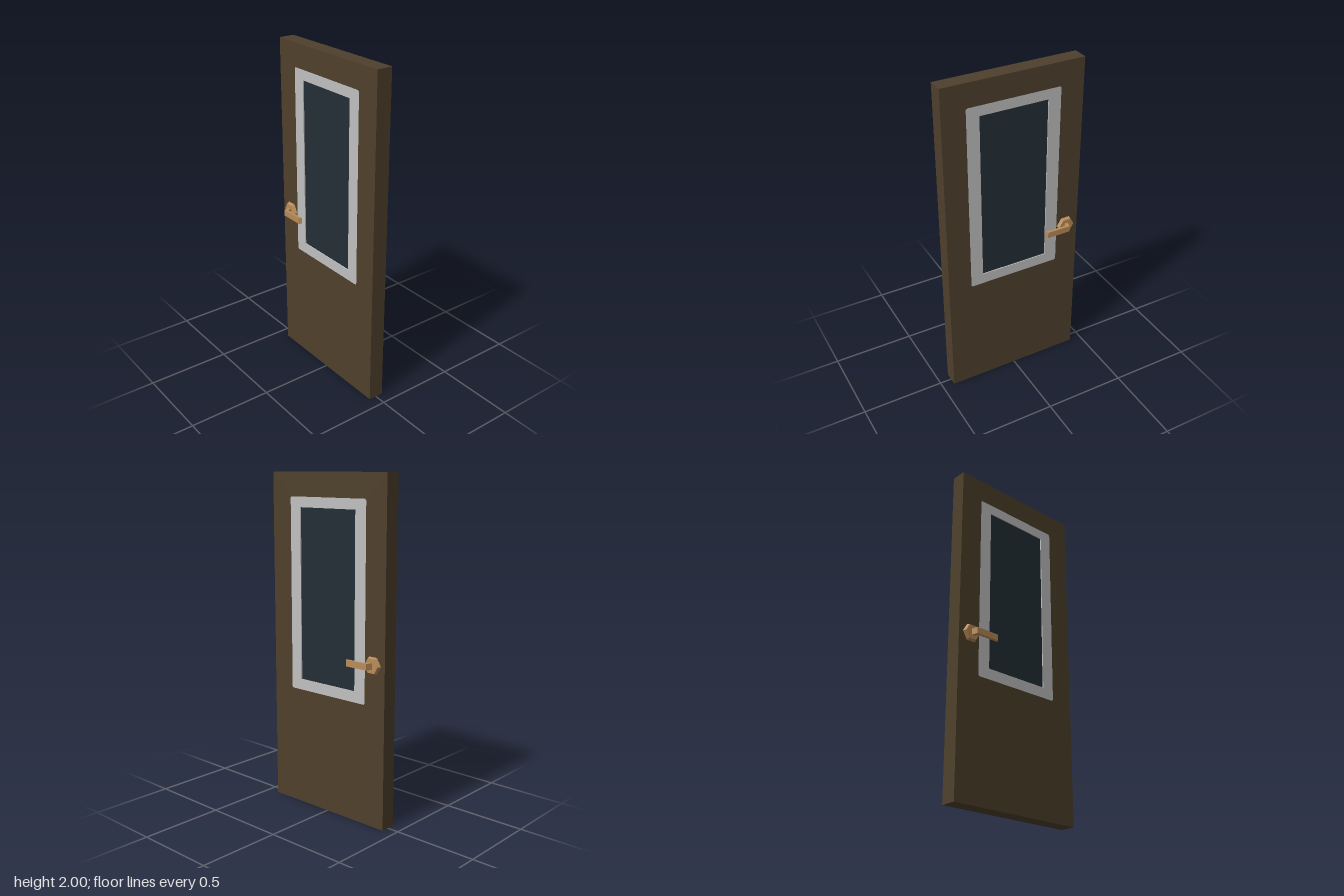
import * as THREE from 'three';

const material = (name, color) => {
  const m = new THREE.MeshStandardMaterial({ color });
  m.name = name;
  return m;
};

// Rectangle outline with optional cut corners
function outline(Kind, x, y0, y1, cut = 0) {
  const pts = cut
    ? [[-x + cut, y0], [x - cut, y0], [x, y0 + cut], [x, y1 - cut],
       [x - cut, y1], [-x + cut, y1], [-x, y1 - cut], [-x, y0 + cut]]
    : [[-x, y0], [x, y0], [x, y1], [-x, y1]];
  return new Kind(pts.map(([a, b]) => new THREE.Vector2(a, b)));
}

function extrude(shape, depth) {
  const geo = new THREE.ExtrudeGeometry(shape, { depth, bevelEnabled: false });
  return geo.translate(0, 0, -depth / 2);
}

export function createModel() {
  const wood = material('brown wood', 0x4f402c);
  const trim = material('light grey trim', 0xc0c0c0);
  const glass = material('dark glass', 0x232e36);
  const brass = material('brass', 0xb98c58);
  const half = 0.047;
  const handleY = 0.955;

  const door = new THREE.Group();
  door.name = 'door';
  const add = (parent, name, geo, mat) => {
    const mesh = new THREE.Mesh(geo, mat);
    mesh.name = name;
    parent.add(mesh);
    return mesh;
  };

  // Door leaf with an opening for the window
  const leaf = outline(THREE.Shape, 0.427, 0, 2);
  leaf.holes.push(outline(THREE.Path, 0.285, 0.717, 1.86, 0.008));
  add(door, 'doorLeaf', extrude(leaf, half * 2), wood);

  // Window frame, flush with the leaf
  const frame = outline(THREE.Shape, 0.285, 0.717, 1.86, 0.008);
  frame.holes.push(outline(THREE.Path, 0.208, 0.782, 1.8));
  add(door, 'windowFrame', extrude(frame, half * 2), trim);

  // Slightly recessed pane
  const pane = new THREE.BoxGeometry(0.416, 1.018, half * 2 - 0.012);
  add(door, 'windowPane', pane.translate(0, 1.291, 0), glass);

  // Lever outline seen from above: x, distance from the door's middle
  const lever = new THREE.Shape([
    [-0.353, 0.06], [-0.331, 0.06], [-0.325, 0.087],
    [-0.184, 0.087], [-0.195, 0.104], [-0.342, 0.104],
  ].map(([x, z]) => new THREE.Vector2(x, z)));

  // One handle on each face; the back one is turned over about x
  for (const [name, turn] of [['frontHandle', 0], ['backHandle', Math.PI]]) {
    const handle = new THREE.Group();
    handle.name = name;
    handle.position.y = handleY;
    handle.rotation.x = turn;

    // Six-sided tapered rose with corners along x
    const rose = new THREE.CylinderGeometry(0.047, 0.056, 0.02, 6).toNonIndexed();
    rose.rotateY(Math.PI / 6).rotateX(Math.PI / 2).translate(-0.344, 0, half + 0.009);
    rose.computeVertexNormals();
    add(handle, 'handleRose', rose, brass);

    add(handle, 'handleLever', extrude(lever, 0.037).rotateX(Math.PI / 2)
      .scale(1, 1, 1), brass);
    door.add(handle);
  }
  return door;
}
